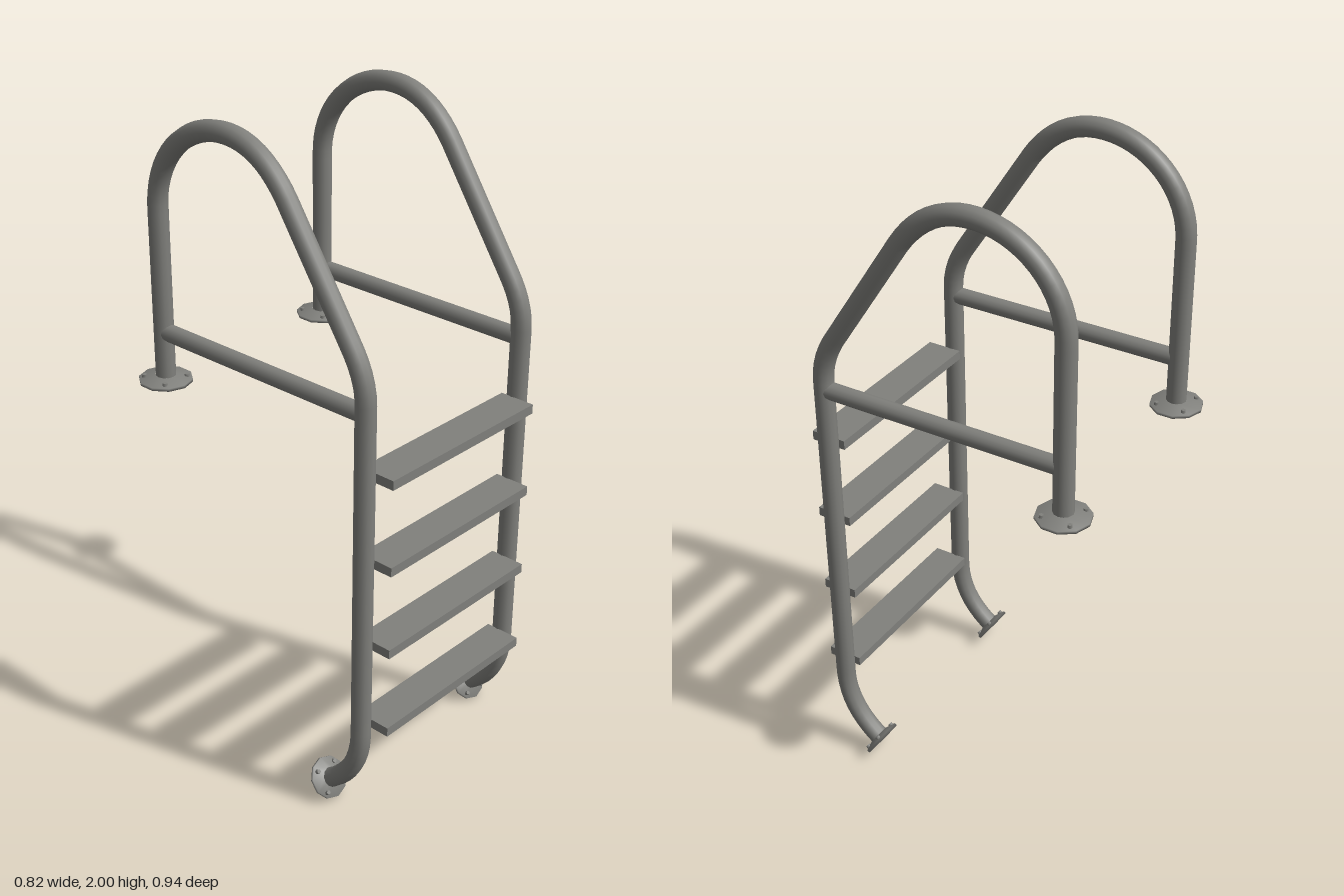
import * as THREE from 'three';

const steel = new THREE.MeshStandardMaterial({ color: 0x80807c });
steel.name = 'steel';

function add(parent, name, geometry, x = 0, y = 0, z = 0) {
  const mesh = new THREE.Mesh(geometry, steel);
  mesh.name = name;
  mesh.position.set(x, y, z);
  parent.add(mesh);
  return mesh;
}

// Bent handrail centre line, lying in the plane x = 0
function railPath() {
  const p = (z, y) => new THREE.Vector3(0, y, z);
  const path = new THREE.CurvePath();
  path.add(new THREE.QuadraticBezierCurve3(p(0.267, 0.057), p(0.391, 0.142), p(0.391, 0.29)));
  path.add(new THREE.LineCurve3(p(0.391, 0.29), p(0.391, 1.35)));
  path.add(new THREE.QuadraticBezierCurve3(p(0.391, 1.35), p(0.391, 1.425), p(0.34, 1.5)));
  path.add(new THREE.LineCurve3(p(0.34, 1.5), p(0.11, 1.845)));
  path.add(new THREE.CubicBezierCurve3(p(0.11, 1.845), p(0.045, 1.935), p(-0.03, 1.97), p(-0.11, 1.97)));
  path.add(new THREE.CubicBezierCurve3(p(-0.11, 1.97), p(-0.26, 1.97), p(-0.386, 1.85), p(-0.386, 1.7)));
  path.add(new THREE.LineCurve3(p(-0.386, 1.7), p(-0.386, 1.172)));
  return path;
}

// Round mounting plate with a low cone and bolt heads
function flange(name, radius) {
  const g = new THREE.Group();
  g.name = name;
  const profile = [[0, 0], [radius, 0], [radius, 0.009], [0.03, 0.02]]
    .map(([r, y]) => new THREE.Vector2(r, y));
  add(g, 'plate', new THREE.LatheGeometry(profile, 10));
  const ring = radius * 0.77;
  for (let i = 0; i < 4; i++) {
    const a = Math.PI / 4 + i * Math.PI / 2;
    add(g, 'bolt', new THREE.CylinderGeometry(0.007, 0.008, 0.012, 6),
      Math.cos(a) * ring, 0.014, Math.sin(a) * ring);
  }
  return g;
}

export function createModel() {
  const model = new THREE.Group();
  model.name = 'poolLadder';

  // The ladder stands very slightly out of true
  const ladder = new THREE.Group();
  ladder.name = 'ladder';
  ladder.rotation.set(0, 0.008, -0.0095);
  ladder.position.x = -0.0095;
  model.add(ladder);

  const railGeometry = new THREE.TubeGeometry(railPath(), 110, 0.03, 12);
  for (const side of [1, -1]) {
    const half = new THREE.Group();
    half.name = side > 0 ? 'leftSide' : 'rightSide';
    half.position.x = side * 0.334;
    ladder.add(half);

    add(half, 'rail', railGeometry);
    const bar = add(half, 'crossbar', new THREE.CylinderGeometry(0.026, 0.026, 0.776, 12), 0, 1.324, 0.003);
    bar.rotation.x = Math.PI / 2;

    const deckPlate = flange('deckFlange', 0.08);
    deckPlate.position.set(0, 1.166, -0.387);
    half.add(deckPlate);

    const footPlate = flange('footFlange', 0.064);
    footPlate.position.set(0, 0.055, 0.262);
    footPlate.rotation.x = 0.96;
    half.add(footPlate);
  }

  // Four flat treads
  for (let i = 0; i < 4; i++) {
    add(ladder, 'tread', new THREE.BoxGeometry(0.614, 0.029, 0.112), 0, 0.317 + i * 0.271, 0.412);
  }
  return model;
}
